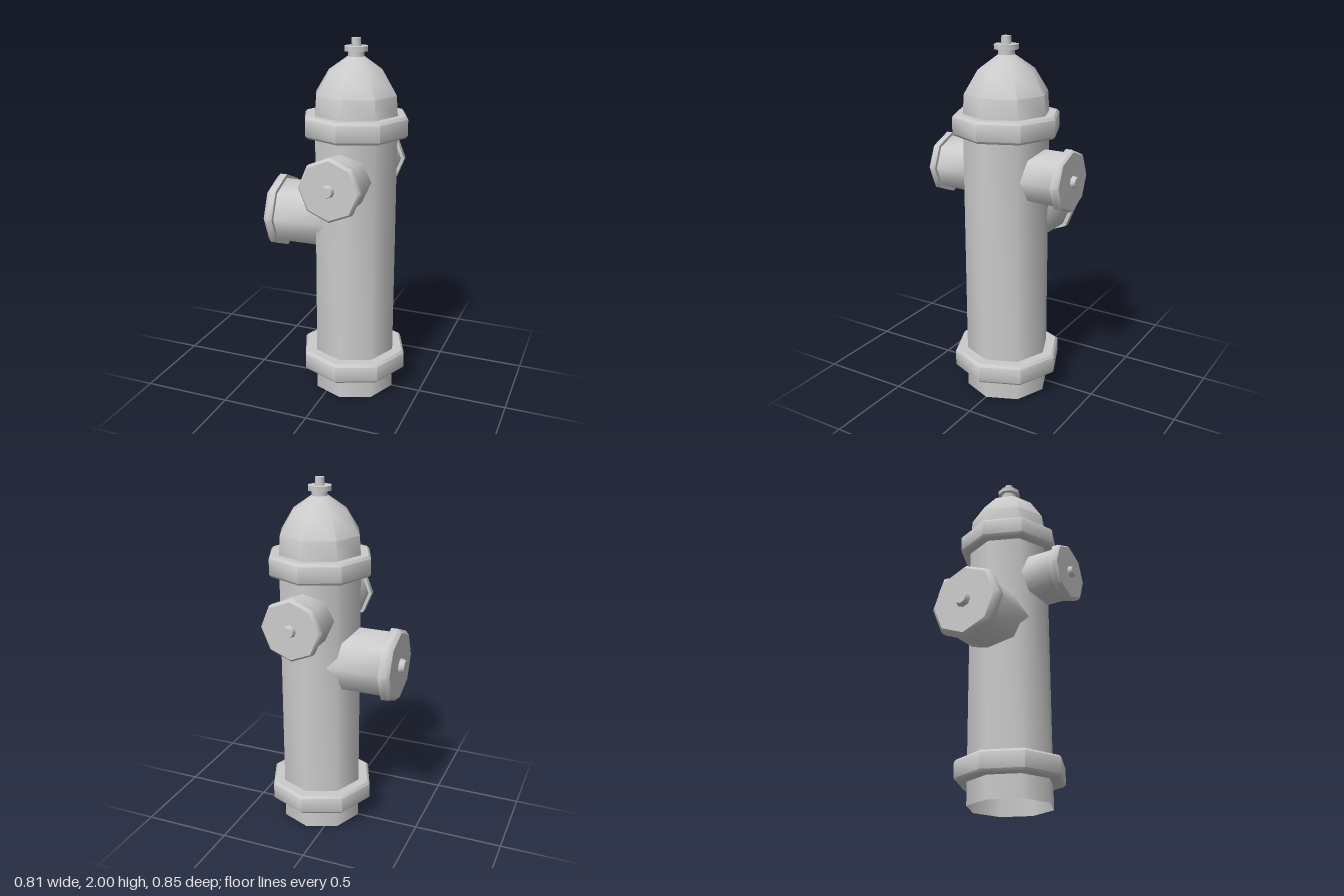
import * as THREE from 'three';
import { toCreasedNormals } from 'three/addons/utils/BufferGeometryUtils.js';

const SIDES = 8;
const material = new THREE.MeshStandardMaterial({ color: 0xcccccc });
const openMaterial = new THREE.MeshStandardMaterial({ color: 0xcccccc, side: THREE.DoubleSide });

// Eight-sided turned part from [radius, height] pairs, listed bottom to top
function turned(name, profile, mat = material) {
  const points = profile.map(([r, y]) => new THREE.Vector2(r, y));
  const geometry = toCreasedNormals(new THREE.LatheGeometry(points, SIDES), 0.82);
  const mesh = new THREE.Mesh(geometry, mat);
  mesh.name = name;
  return mesh;
}

// Flange around the barrel with bevelled rims
function flange(name, inner, outer, bottom, top) {
  const b = 0.014;
  return turned(name, [
    [inner, bottom], [outer - b, bottom], [outer, bottom + b],
    [outer, top - b], [outer - b, top], [inner, top],
  ]);
}

// Pipe stub with bevelled cap and nut, pointing along +y from the barrel axis
function outlet(name, { start, pipe, cap, capStart, bevelStart, end, face, nut, nutEnd }) {
  const group = new THREE.Group();
  group.name = name;
  group.add(
    turned('outletPipe', [[pipe, start], [pipe, capStart + 0.01]], openMaterial),
    turned('outletCap', [
      [0, capStart], [cap, capStart], [cap, bevelStart], [face, end], [0, end],
    ]),
    turned('outletNut', [[nut, end - 0.005], [nut * 0.75, nutEnd], [0, nutEnd]]),
  );
  return group;
}

export function createModel() {
  const model = new THREE.Group();
  model.name = 'hydrant';
  const body = new THREE.Group();
  body.name = 'body';
  body.position.x = 0.097;
  model.add(body);

  // Hollow barrel, open at the foot
  body.add(turned('barrel', [[0.235, 0], [0.235, 1.6]], openMaterial));
  body.add(flange('baseFlange', 0.2, 0.305, 0.125, 0.24));
  body.add(flange('topFlange', 0.2, 0.292, 1.49, 1.605));

  // Domed bonnet with its operating nut
  body.add(turned('bonnet', [
    [0.235, 1.6], [0.227, 1.71], [0.153, 1.83], [0.045, 1.905], [0, 1.905],
  ]));
  body.add(turned('stem', [[0.045, 1.9], [0.045, 1.935]]));
  body.add(turned('stemCollar', [[0, 1.932], [0.066, 1.932], [0.066, 1.958], [0, 1.958]]));
  body.add(turned('stemNut', [[0.028, 1.955], [0.026, 2], [0, 2]]));

  // Matching hose outlets at front and back
  for (const side of [1, -1]) {
    const hose = outlet(side > 0 ? 'frontOutlet' : 'backOutlet', {
      start: 0.15, pipe: 0.152, cap: 0.17, capStart: 0.355, bevelStart: 0.388,
      end: 0.4, face: 0.158, nut: 0.036, nutEnd: 0.425,
    });
    hose.position.y = 1.28;
    hose.rotation.x = side * Math.PI / 2;
    body.add(hose);
  }

  // Larger, lower pumper outlet on the right
  const pumper = outlet('pumperOutlet', {
    start: 0.09, pipe: 0.19, cap: 0.212, capStart: 0.413, bevelStart: 0.45,
    end: 0.472, face: 0.19, nut: 0.046, nutEnd: 0.502,
  });
  pumper.position.y = 1.01;
  pumper.rotation.z = Math.PI / 2;
  body.add(pumper);

  return model;
}
